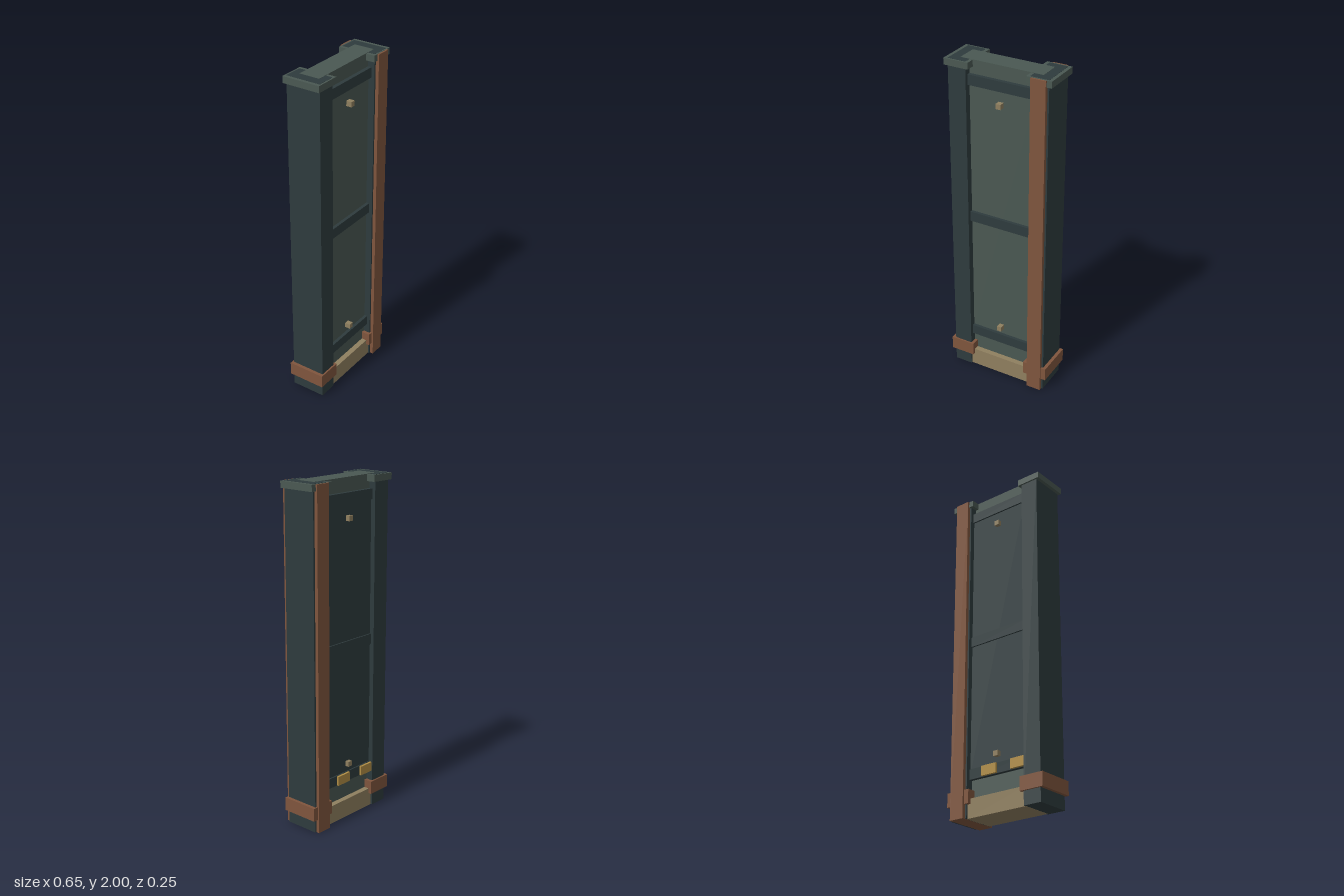
import * as THREE from 'three';

const paint = (color) => new THREE.MeshStandardMaterial({ color });

export function createModel() {
  const group = new THREE.Group();
  const green = paint(0x4a5852);
  const dark = paint(0x2e3b3d);
  const rust = paint(0x7f553d);
  const tan = paint(0x8f7f5f);
  const gold = paint(0xb08d45);

  // Box given by its extents on each axis
  function box(name, material, [x0, x1], [y0, y1], [z0, z1]) {
    const mesh = new THREE.Mesh(new THREE.BoxGeometry(x1 - x0, y1 - y0, z1 - z0), material);
    mesh.position.set((x0 + x1) / 2, (y0 + y1) / 2, (z0 + z1) / 2);
    mesh.name = name;
    group.add(mesh);
  }

  // Core slab and footing
  box('coreSlab', green, [-0.25, 0.25], [0.01, 2], [-0.062, 0.062]);
  box('footing', tan, [-0.2, 0.2], [0, 0.11], [-0.095, 0.095]);

  // Recessed panels: pale in front, dark behind
  box('frontPanel', green, [-0.2, 0.2], [0.25, 1.855], [0.05, 0.066]);
  box('backPanel', dark, [-0.2, 0.2], [0.23, 1.9], [-0.076, -0.05]);

  // Cross rails through the full thickness
  for (const y of [0.25, 1.05, 1.89]) {
    box('crossRail', dark, [-0.2, 0.2], [y - 0.03, y + 0.03], [-0.085, 0.085]);
  }

  // Side posts with caps and ankle bands; tops step by a hair to stay distinct
  for (const side of [-1, 1]) {
    const x = side * 0.25;
    box('post', dark, [x - 0.055, x + 0.055], [0.001, 1.999], [-0.105, 0.105]);
    box('postCap', green, [x - 0.075, x + 0.075], [1.96, 1.998], [-0.115, 0.115]);
    box('ankleBand', rust, [x - 0.075, x + 0.075], [0.08, 0.16], [-0.115, 0.115]);
  }

  // Rusty strip running up one post, front and back
  box('rustStrip', rust, [0.205, 0.295], [0, 1.997], [-0.125, 0.125]);

  // Square studs on both faces
  for (const y of [0.33, 1.78]) {
    box('frontStud', tan, [-0.015, 0.015], [y - 0.015, y + 0.015], [0.06, 0.1]);
    box('backStud', tan, [-0.015, 0.015], [y - 0.015, y + 0.015], [-0.1, -0.06]);
  }

  // Warning plates on the lower back rail
  for (const x of [-0.2, 0]) {
    box('warningPlate', gold, [x, x + 0.1], [0.222, 0.278], [-0.099, -0.08]);
  }

  return group;
}
